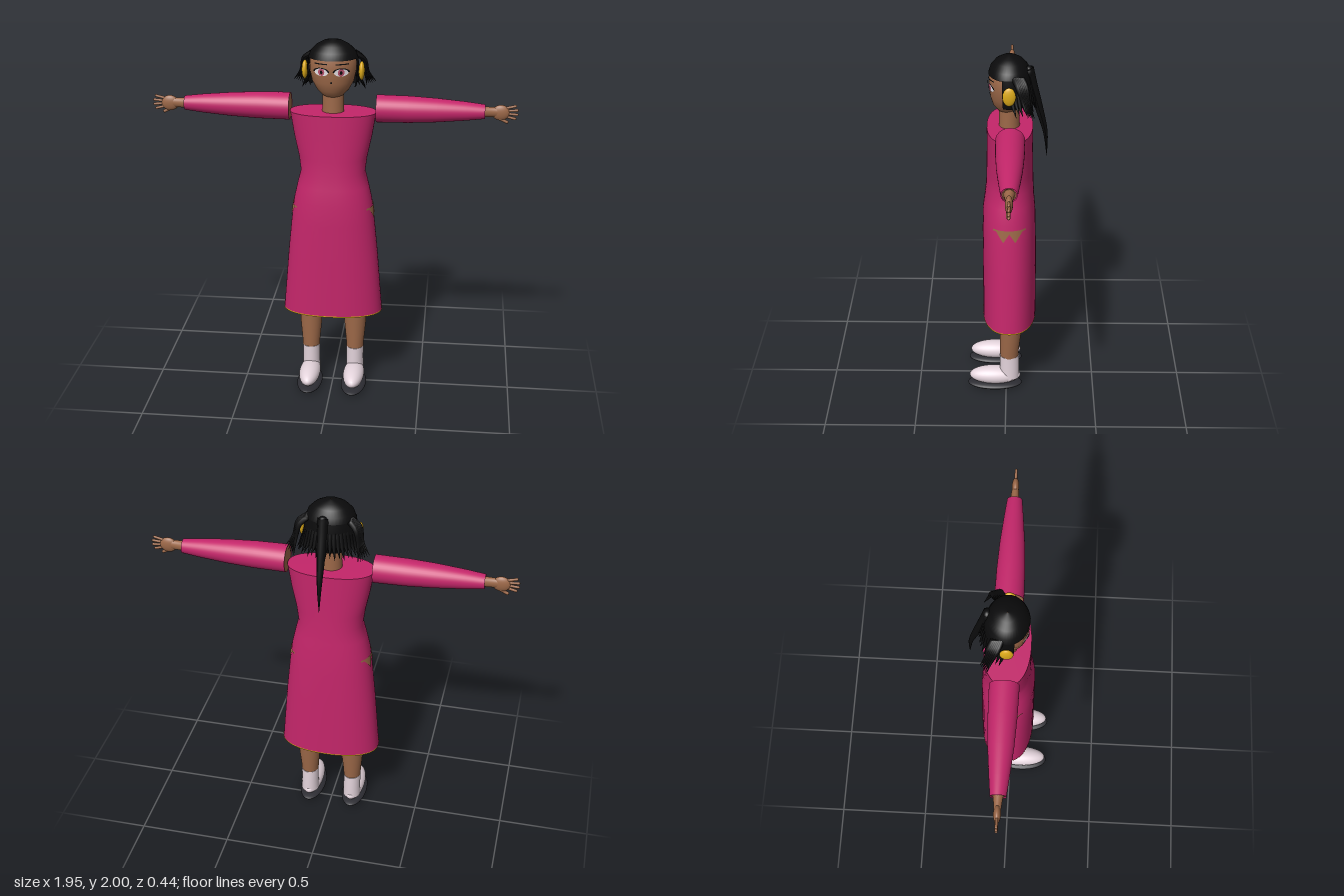
import * as THREE from 'three';

const mat = (name, color) => {
  const m = new THREE.MeshStandardMaterial({ color, side: THREE.DoubleSide });
  m.name = name;
  return m;
};
const V = (x, y, z) => new THREE.Vector3(x, y, z);

// Skin stretched over rings [y, rx, rz, cz]; k < 1 squares the outline, an arc leaves it open
function loft(rings, { n = 40, k = 1, arc = null } = {}) {
  const pos = [], idx = [], cols = arc ? n + 1 : n;
  const pow = (v) => Math.sign(v) * Math.pow(Math.abs(v), k);
  const [a0, a1] = arc || [0, Math.PI * 2];
  rings.forEach(([y, rx, rz, cz = 0]) => {
    for (let j = 0; j < cols; j++) {
      const a = a0 + (a1 - a0) * j / n;
      pos.push(rx * pow(Math.cos(a)), y, cz + rz * pow(Math.sin(a)));
    }
  });
  for (let i = 0; i < rings.length - 1; i++) {
    for (let j = 0; j < n; j++) {
      const a = i * cols + j, b = i * cols + (j + 1) % cols;
      idx.push(a, a + cols, b, b, a + cols, b + cols);
    }
  }
  const g = new THREE.BufferGeometry();
  g.setAttribute('position', new THREE.Float32BufferAttribute(pos, 3));
  g.setIndex(idx);
  g.computeVertexNormals();
  return g;
}

// Tapered lock of hair along a curve
function lock(points, radius, power = 1, seg = 12) {
  const curve = new THREE.CatmullRomCurve3(points), sides = 8;
  const g = new THREE.TubeGeometry(curve, seg, radius, sides, false);
  const p = g.attributes.position, v = V(0, 0, 0);
  for (let i = 0; i < p.count; i++) {
    const t = Math.floor(i / (sides + 1)) / seg;
    const c = curve.getPointAt(t);
    v.fromBufferAttribute(p, i).sub(c).multiplyScalar(1 - Math.pow(t, power) * 0.98).add(c);
    p.setXYZ(i, v.x, v.y, v.z);
  }
  g.computeVertexNormals();
  return g;
}

// Radii of a ring list at height y
function ringAt(rings, y) {
  const i = Math.max(1, rings.findIndex((r) => r[0] >= y));
  const a = rings[i - 1], b = rings[i], t = (y - a[0]) / (b[0] - a[0]);
  return a.map((v, k) => v + (b[k] - v) * t);
}

const HEAD = [[1.688, 0.002, 0.002, 0], [1.692, 0.03, 0.028, 0], [1.705, 0.055, 0.052, -0.004],
  [1.735, 0.085, 0.078, -0.008], [1.78, 0.11, 0.094, -0.01], [1.84, 0.123, 0.1, -0.01],
  [1.9, 0.122, 0.1, -0.01], [1.95, 0.095, 0.08, -0.01], [1.985, 0.04, 0.035, -0.01]];
const DRESS = [[0.46, 0.275, 0.148, -0.017], [0.8, 0.247, 0.147, -0.017], [1.0, 0.227, 0.145, -0.015],
  [1.12, 0.212, 0.142, -0.014], [1.2, 0.194, 0.133, -0.016], [1.28, 0.174, 0.127, -0.018],
  [1.36, 0.184, 0.124, -0.018], [1.48, 0.209, 0.122, -0.018], [1.61, 0.23, 0.121, -0.018]];
const K = 0.87;

// Lays a flat geometry on the face, centred at (x, y)
function faceDecal(g, x, y, sx, sy, lift) {
  g.scale(sx, sy, 1).translate(x, y, 0);
  const p = g.attributes.position;
  for (let i = 0; i < p.count; i++) {
    const [, rx, rz, cz] = ringAt(HEAD, p.getY(i));
    p.setZ(i, cz + rz * Math.sqrt(Math.max(0, 1 - (p.getX(i) / rx) ** 2)) + lift);
  }
  g.computeVertexNormals();
  return g;
}

// Torn opening on the side of the dress, a strip with a zigzag lower edge
function sidePatch(s) {
  const pos = [], idx = [], n = 32;
  for (let i = 0; i <= n; i++) {
    const z = 0.07 - 0.175 * i / n;
    let drop = 0.01;
    if (z < 0.055 && z > -0.02) drop = Math.max(drop, 0.07 - Math.abs(z - 0.015) * 1.6);
    if (z <= -0.02 && z > -0.09) drop = Math.max(drop, 0.07 - Math.abs(z + 0.05) * 1.6);
    for (const y of [1.09, 1.09 - drop]) {
      const [, rx, rz, cz] = ringAt(DRESS, y);
      const sn = Math.pow(Math.min(1, Math.abs((z - cz) / rz)), 1 / K);
      pos.push(s * (rx * Math.pow(1 - sn * sn, K / 2) + 0.004), y, z);
    }
    if (i < n) {
      const a = i * 2;
      if (s > 0) idx.push(a, a + 1, a + 2, a + 1, a + 3, a + 2);
      else idx.push(a, a + 2, a + 1, a + 1, a + 2, a + 3);
    }
  }
  const g = new THREE.BufferGeometry();
  g.setAttribute('position', new THREE.Float32BufferAttribute(pos, 3));
  g.setIndex(idx);
  g.computeVertexNormals();
  return g;
}

export function createModel() {
  const root = new THREE.Group();
  const pink = mat('dressPink', 0xc4266a), skin = mat('skin', 0x9c6848), black = mat('hairBlack', 0x0b0b0c);
  const white = mat('shoeWhite', 0xe4d4dc), gold = mat('gold', 0xdcaa1a), sole = mat('soleGrey', 0x2c2c32);
  const iris = mat('irisRed', 0xb8506c), eyeWhite = mat('eyeWhite', 0xf2ecf0);
  const add = (name, geo, m, parent = root) => {
    const mesh = new THREE.Mesh(geo, m);
    mesh.name = name;
    parent.add(mesh);
    return mesh;
  };
  const ball = (name, m, parent, [x, y, z], [sx, sy, sz]) =>
    add(name, new THREE.SphereGeometry(1, 32, 20).scale(sx, sy, sz).translate(x, y, z), m, parent);

  // Dress with closed ends, repeated rings keep the rims sharp
  const first = DRESS[0], last = DRESS[DRESS.length - 1];
  add('dress', loft([[0.46, 0.001, 0.001, -0.017], first, ...DRESS, last, [1.612, 0.001, 0.001, -0.018]],
    { n: 56, k: K }), pink);
  add('hemTrim', loft([[0.459, 0.277, 0.15, -0.017], [0.466, 0.277, 0.15, -0.017]], { n: 56, k: K }), gold);
  add('neck', loft([[1.58, 0.06, 0.056, -0.015], [1.65, 0.057, 0.053, -0.015], [1.74, 0.057, 0.053, -0.015]]), skin);

  // Head and face
  add('head', loft(HEAD), skin);
  add('nose', faceDecal(new THREE.CircleGeometry(1, 12), 0, 1.79, 0.006, 0.005, 0.004), black);
  for (const s of [-1, 1]) {
    const x = s * 0.052, y = 1.845;
    add('eyeWhite', faceDecal(new THREE.CircleGeometry(1, 28), x, y, 0.037, 0.021, 0.003), eyeWhite);
    add('iris', faceDecal(new THREE.CircleGeometry(1, 24), x, y, 0.017, 0.019, 0.006), iris);
    add('pupil', faceDecal(new THREE.CircleGeometry(1, 16), x, y, 0.007, 0.01, 0.008), black);
    add('upperLash', faceDecal(new THREE.RingGeometry(0.88, 1.1, 24, 1, 0, Math.PI), x, y, 0.039, 0.022, 0.007), black);
    add('eyebrow', faceDecal(new THREE.PlaneGeometry(1, 1, 10, 1), s * 0.056, 1.888, 0.068, 0.006, 0.004), black);
    ball('earDisc', gold, root, [s * 0.15, 1.833, -0.015], [0.016, 0.05, 0.034]);
    add('sidePatch', sidePatch(s), skin);
  }

  // Hair: cap, back shell, fringe of spikes, side locks and ponytail
  const hair = new THREE.Group();
  hair.name = 'hair';
  root.add(hair);
  add('hairCap', loft([[1.905, 0.13, 0.108, -0.015], [1.94, 0.117, 0.098, -0.015], [1.97, 0.087, 0.074, -0.015],
    [1.99, 0.05, 0.043, -0.015], [2.0, 0.001, 0.001, -0.015]]), black, hair);
  add('backHair', loft([[1.75, 0.122, 0.108, -0.02], [1.79, 0.134, 0.114, -0.02], [1.85, 0.138, 0.114, -0.018],
    [1.91, 0.13, 0.108, -0.015]], { arc: [Math.PI - 0.35, Math.PI * 2 + 0.35] }), black, hair);
  for (let i = 0; i <= 20; i++) {
    const a = Math.PI * (1.02 + 0.96 * i / 20), c = Math.cos(a), d = Math.sin(a);
    add('backSpike', lock([V(0.115 * c, 1.86, -0.02 + 0.1 * d), V(0.14 * c, 1.79, -0.025 + 0.115 * d),
      V(0.17 * c, 1.725 + 0.012 * (i % 2), -0.045 + 0.115 * d)], 0.017, 1.5, 8), black, hair);
  }
  for (const s of [-1, 1]) {
    for (let i = 0; i < 6; i++) {
      add('sideLock', lock([V(s * 0.11, 1.915, -0.04 - 0.008 * i), V(s * (0.158 - 0.003 * i), 1.885, -0.06 - 0.008 * i),
        V(s * (0.18 - 0.004 * i), 1.81, -0.085 - 0.006 * i),
        V(s * (0.222 - 0.011 * i), 1.75 - 0.006 * i, -0.11 - 0.007 * i)], 0.015, 1.5), black, hair);
    }
  }
  ball('ponytailKnot', black, hair, [0.02, 1.915, -0.115], [0.03, 0.035, 0.026]);
  add('ponytail', lock([V(0.02, 1.94, -0.112), V(0.02, 1.86, -0.13), V(0.02, 1.72, -0.168),
    V(0.02, 1.58, -0.203), V(0.02, 1.44, -0.213)], 0.027, 1.8, 24), black, hair);

  // Arms, built toward +x and turned around for the other side
  for (const s of [1, -1]) {
    const arm = new THREE.Group();
    arm.name = s > 0 ? 'leftArm' : 'rightArm';
    arm.position.set(0, 1.628, -0.022);
    arm.rotation.y = s > 0 ? 0 : Math.PI;
    root.add(arm);
    const along = (g) => g.rotateZ(-Math.PI / 2);
    add('sleeve', along(loft([[0.23, 0.073, 0.076], [0.4, 0.071, 0.073], [0.55, 0.063, 0.065],
      [0.7, 0.05, 0.051], [0.8, 0.038, 0.04]])), pink, arm);
    add('upperArm', along(loft([[0.232, 0.001, 0.001], [0.232, 0.07, 0.073], [0.232, 0.07, 0.073], [0.3, 0.066, 0.069]])), skin, arm);
    add('wrist', along(loft([[0.795, 0.001, 0.001], [0.795, 0.034, 0.035], [0.8, 0.027, 0.024], [0.87, 0.026, 0.017]])), skin, arm);
    ball('palm', skin, arm, [0.882, -0.003, 0], [0.047, 0.042, 0.019]);
    for (let i = 0; i < 4; i++) {
      const f = i - 1.5, len = 0.075 - Math.abs(f) * 0.009;
      const finger = add('finger', new THREE.CapsuleGeometry(0.0075, len - 0.015, 4, 10), skin, arm);
      finger.rotation.z = -Math.PI / 2 + f * 0.16;
      finger.position.set(0.942 - Math.abs(f) * 0.005, f * 0.019, 0);
    }
    const thumb = add('thumb', new THREE.CapsuleGeometry(0.0085, 0.05, 4, 10), skin, arm);
    thumb.rotation.z = -Math.PI / 2 - 0.45;
    thumb.position.set(0.893, -0.041, 0.004);
  }

  // Legs, socks and shoes
  for (const s of [1, -1]) {
    const leg = new THREE.Group();
    leg.name = s > 0 ? 'leftLeg' : 'rightLeg';
    leg.position.x = s * 0.125;
    root.add(leg);
    add('shin', loft([[0.18, 0.046, 0.05, -0.018], [0.25, 0.05, 0.053, -0.018], [0.36, 0.06, 0.059, -0.024],
      [0.5, 0.066, 0.064, -0.026]]), skin, leg);
    add('sock', loft([[0.07, 0.05, 0.055, -0.02], [0.14, 0.048, 0.055, -0.02], [0.22, 0.048, 0.055, -0.018],
      [0.22, 0.048, 0.055, -0.018], [0.22, 0.001, 0.001, -0.018]]), white, leg);
    ball('shoe', white, leg, [0, 0.078, 0.064], [0.059, 0.052, 0.146]);
    ball('sole', sole, leg, [0, 0.024, 0.065], [0.071, 0.021, 0.155]);
  }
  return root;
}
